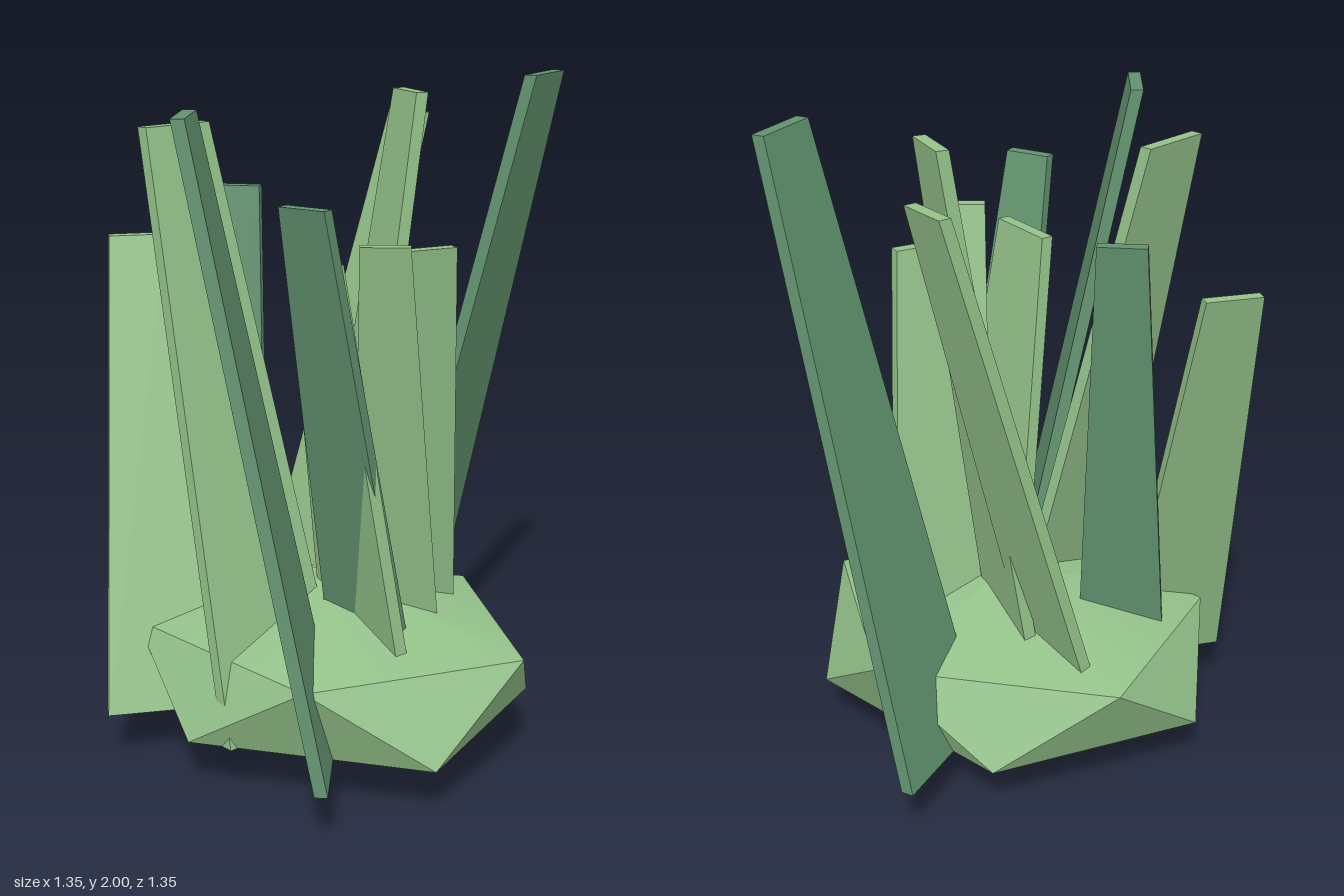
import * as THREE from 'three';
import { toCreasedNormals } from 'three/addons/utils/BufferGeometryUtils.js';

const BASE_Y = 0.155;
const THICKNESS = 0.037;

// Squashed twenty-sided mound: two poles and two staggered rings of five.
function moundGeometry() {
  const cx = 0.045, cz = 0.03, rx = 0.625, rz = 0.53;
  const points = [cx, 0.55, cz, cx, 0, cz];
  for (const [y, offset] of [[0.398, 0], [0.155, 0.5]]) {
    for (let i = 0; i < 5; i++) {
      const a = (i + offset) * Math.PI * 0.4;
      points.push(cx + rx * Math.cos(a), y, cz + rz * Math.sin(a));
    }
  }
  const index = [];
  for (let i = 0; i < 5; i++) {
    const n = (i + 1) % 5;
    const u0 = 2 + i, u1 = 2 + n, l0 = 7 + i, l1 = 7 + n;
    index.push(0, u1, u0, u0, u1, l0, u1, l1, l0, 1, l0, l1);
  }
  const g = new THREE.BufferGeometry();
  g.setAttribute('position', new THREE.Float32BufferAttribute(points, 3));
  g.setIndex(index);
  return toCreasedNormals(g, Math.PI / 6);
}

// Leaning slab: level ends, twice as wide at the root as at the tip.
function bladeGeometry(height, root, tip, across) {
  const width = Math.hypot(...across);
  const ux = across[0] / width, uz = across[1] / width;
  const g = new THREE.BoxGeometry(width, 1, THICKNESS);
  const p = g.attributes.position;
  for (let i = 0; i < p.count; i++) {
    const top = p.getY(i) > 0;
    const [cx, cz] = top ? tip : root;
    const a = p.getX(i) * (top ? 1 : 2), b = p.getZ(i);
    p.setXYZ(i, cx + a * ux - b * uz, top ? height : BASE_Y, cz + a * uz + b * ux);
  }
  g.computeVertexNormals();
  return g;
}

export function createModel() {
  const light = new THREE.MeshStandardMaterial({ color: 0x94c28a });
  light.name = 'light green';
  const dark = new THREE.MeshStandardMaterial({ color: 0x62936f });
  dark.name = 'dark green';

  const model = new THREE.Group();
  model.name = 'grassTuft';

  const mound = new THREE.Mesh(moundGeometry(), light);
  mound.name = 'mound';
  model.add(mound);

  // Material, tip height, root centre (x, z), tip centre (x, z), tip width vector (x, z)
  const blades = [
    [dark, 2.0, [0.025, -0.465], [0.46, -0.47], [0, 0.205]],
    [dark, 1.95, [0.25, 0.43], [-0.09, 0.57], [0.095, 0.195]],
    [dark, 1.67, [-0.28, 0.14], [-0.334, -0.058], [0.13, -0.048]],
    [dark, 1.72, [0.21, 0.05], [0.21, 0.472], [0.14, 0.007]],
    [light, 1.52, [-0.335, 0.387], [-0.603, 0.085], [0.125, -0.112]],
    [light, 1.55, [0.15, -0.135], [0.313, 0.022], [0.125, -0.177]],
    [light, 1.88, [0.035, 0.3], [-0.335, 0.262], [-0.065, 0.213]],
    [light, 1.95, [-0.04, -0.07], [0.123, -0.28], [0.128, 0.1]],
    [light, 1.86, [-0.235, -0.1], [-0.015, -0.543], [0.14, 0.068]],
    [light, 1.6, [0.23, -0.045], [0.335, 0.268], [0.12, -0.065]],
    [light, 1.55, [0.215, 0.095], [0.13, 0.282], [0.2, 0.108]],
  ];
  blades.forEach(([material, height, root, tip, across], i) => {
    const blade = new THREE.Mesh(bladeGeometry(height, root, tip, across), material);
    blade.name = `blade${i + 1}`;
    model.add(blade);
  });
  return model;
}
